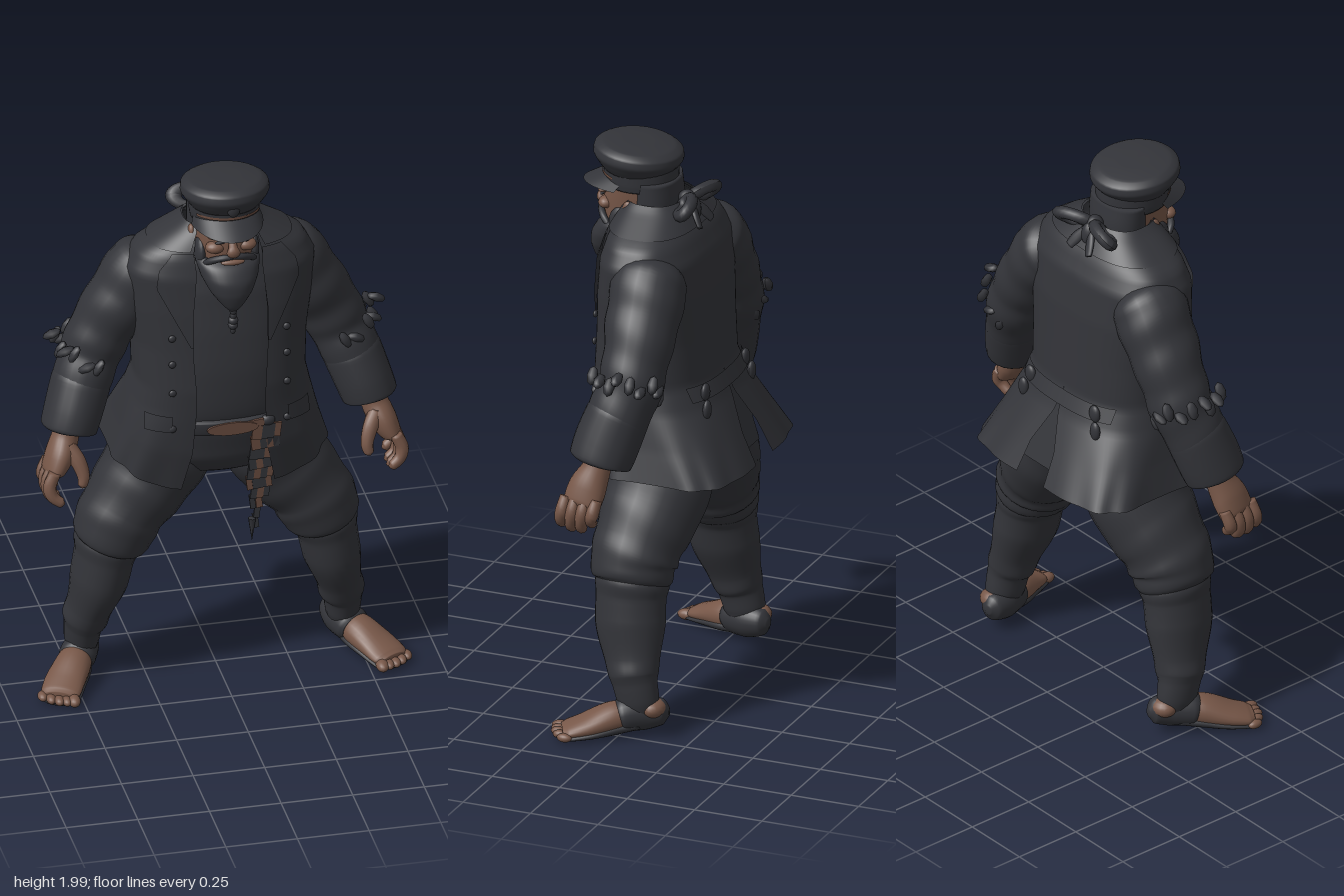
import * as THREE from 'three';

const cloth = new THREE.MeshStandardMaterial({ name: 'charcoal cloth', color: 0x333439, side: THREE.DoubleSide });
const skin = new THREE.MeshStandardMaterial({ name: 'tanned skin', color: 0x775748, side: THREE.DoubleSide });
const leather = new THREE.MeshStandardMaterial({ name: 'brown leather', color: 0x684b3f, side: THREE.DoubleSide });
const V = (x, y, z) => new THREE.Vector3(x, y, z);

function build(pos, idx) {
  const g = new THREE.BufferGeometry();
  g.setAttribute('position', new THREE.Float32BufferAttribute(pos, 3));
  g.setIndex(idx);
  g.computeVertexNormals();
  return g;
}

// Grid surface from a function of row and column
function sheet(rows, cols, fn) {
  const pos = [], idx = [];
  for (let i = 0; i <= rows; i++) for (let j = 0; j <= cols; j++) pos.push(...fn(i / rows, j / cols));
  for (let i = 0; i < rows; i++) for (let j = 0; j < cols; j++) {
    const a = i * (cols + 1) + j, c = a + cols + 1;
    idx.push(a, c, a + 1, a + 1, c, c + 1);
  }
  return build(pos, idx);
}

// Closed tube with oval sections; points are [x, y, z, sideRadius, frontRadius]
function limb(pts, { ref = V(0, 0, 1), axis = null, n = 2, seg = 24, fold = 0, steps = 6 } = {}) {
  const path = new THREE.CatmullRomCurve3(pts.map(p => V(p[0], p[1], p[2])));
  const rad = new THREE.CatmullRomCurve3(pts.map(p => V(p[3], p[4] ?? p[3], 0)));
  const N = (pts.length - 1) * steps, pos = [], idx = [];
  const pw = v => Math.sign(v) * Math.abs(v) ** (2 / n);
  for (let i = 0; i <= N; i++) {
    const t = i / N, c = path.getPoint(t), r = rad.getPoint(t), T = axis || path.getTangent(t);
    const B = ref.clone().addScaledVector(T, -ref.dot(T)).normalize(), A = B.clone().cross(T);
    for (let j = 0; j < seg; j++) {
      const a = j / seg * Math.PI * 2, k = 1 + fold * Math.sin(t * 34 + 1.3 * Math.sin(a));
      const p = c.clone().addScaledVector(A, pw(Math.cos(a)) * r.x * k).addScaledVector(B, pw(Math.sin(a)) * r.y * k);
      pos.push(p.x, p.y, p.z);
      if (i < N) {
        const b = i * seg + (j + 1) % seg, q = i * seg + j;
        idx.push(q, b, q + seg, b, b + seg, q + seg);
      }
    }
  }
  const s = pos.length / 3;
  pos.push(...path.getPoint(0).toArray(), ...path.getPoint(1).toArray());
  for (let j = 0; j < seg; j++) {
    const k = (j + 1) % seg;
    idx.push(s, k, j, s + 1, N * seg + j, N * seg + k);
  }
  return build(pos, idx);
}

// Upright body; rows are [y, halfWidth, frontZ, backZ] from bottom to top
const body = (rows, n = 2.2) => limb(rows.map(([y, w, f, b]) => [0, y, (f + b) / 2, w, (f - b) / 2]),
  { axis: V(0, 1, 0), ref: V(0, 0, -1), n, seg: 36 });

const ball = (x, y, z, rx, ry = rx, rz = rx) => new THREE.SphereGeometry(1, 18, 12).scale(rx, ry, rz).translate(x, y, z);

// Coat sections: [y, halfWidth, frontZ, backZ, frontOpening, backSlit]
const coatRows = [[1.8, .125, .15, -.03, .1, 0], [1.75, .2, .18, -.06, .11, 0], [1.7, .29, .195, -.1, .12, 0],
  [1.63, .33, .215, -.135, .12, 0], [1.5, .32, .23, -.155, .13, 0], [1.35, .3, .24, -.165, .13, 0],
  [1.2, .295, .25, -.175, .12, 0], [1.12, .315, .245, -.21, .12, .01], [1.0, .345, .225, -.27, .13, .06], [.89, .378, .19, -.325, .16, .07]];
const flareAt = y => THREE.MathUtils.clamp((1.12 - y) / .23, 0, 1);
const squareness = y => 2.6 + 1.6 * flareAt(y);
function section(rows, y) {
  let i = 0;
  while (i < rows.length - 2 && y < rows[i + 1][0]) i++;
  const a = rows[i], b = rows[i + 1], t = THREE.MathUtils.clamp((y - a[0]) / (b[0] - a[0]), 0, 1);
  return a.map((v, k) => v + (b[k] - v) * t);
}
function halfCoat(rows, steps) {
  const top = rows[0][0], bottom = rows.at(-1)[0];
  return sheet(steps, 44, (u, v) => {
    const y = top + (bottom - top) * u, [, w, f, b, open, slit] = section(rows, y);
    const flare = flareAt(y), E = squareness(y);
    const a0 = Math.asin((open / w) ** (E / 2)), a1 = Math.PI - Math.asin((slit / w) ** (E / 2));
    const a = a0 + (a1 - a0) * v, c = Math.cos(a), ripple = 1 + .015 * flare * Math.sin(a * 11);
    return [w * Math.sin(a) ** (2 / E) * ripple, y - .09 * flare * Math.max(0, c) ** 3,
      (f + b) / 2 + Math.sign(c) * Math.abs(c) ** (2 / E) * (f - b) / 2 * ripple];
  });
}
function coatZ(x, y, dir) {
  const [, w, f, b] = section(coatRows, y), E = squareness(y);
  return (f + b) / 2 + dir * (f - b) / 2 * Math.max(0, 1 - Math.abs(x / w) ** E) ** (1 / E);
}
// Cloth laid on the coat; rows are [y, innerX, outerX] from top to bottom
const patch = (rows, dir = 1, off = .012) => sheet(24, 10, (u, v) => {
  const y = rows[0][0] + (rows.at(-1)[0] - rows[0][0]) * u, [, a, b] = section(rows, y), x = a + (b - a) * v;
  return [x, y, coatZ(x, y, dir) + dir * off];
});

export function createModel() {
  const model = new THREE.Group();
  model.name = 'bearded sailor';
  const add = (name, geo, mat = cloth) => {
    const m = new THREE.Mesh(geo, mat);
    m.name = name;
    model.add(m);
  };
  const pair = (name, geo, mat = cloth) => {
    add(name + 'Left', geo, mat);
    const g = geo.clone().scale(-1, 1, 1), ix = g.index.array;
    for (let i = 0; i < ix.length; i += 3) [ix[i], ix[i + 1]] = [ix[i + 1], ix[i]];
    g.computeVertexNormals();
    add(name + 'Right', g, mat);
  };

  // Torso, trousers and belt
  add('shirt', body([[1.0, .27, .2, -.16], [1.1, .28, .235, -.15], [1.25, .28, .24, -.14], [1.4, .28, .225, -.13],
    [1.55, .27, .2, -.11], [1.66, .22, .17, -.06], [1.74, .1, .14, -.01]]));
  add('hips', body([[.8, .1, .08, -.12], [.84, .22, .15, -.19], [.92, .285, .19, -.21], [1.0, .285, .205, -.19], [1.06, .275, .21, -.17]]));
  add('belt', body([[1.015, .27, .22, -.16], [1.025, .28, .235, -.165], [1.07, .28, .243, -.165], [1.08, .27, .23, -.16]]));
  add('beltPlate', new THREE.CylinderGeometry(1, 1, .009, 20).rotateX(Math.PI / 2).scale(.09, .024, 1).translate(.005, 1.05, .243), leather);
  add('beltTongue', new THREE.BoxGeometry(.08, .026, .009).rotateZ(.12).translate(.075, 1.058, .24), leather);
  add('beltKnot', ball(.13, 1.06, .228, .026, .02, .016));

  // Coat with collar, lapels, pockets, buttons and split tail
  pair('coat', halfCoat(coatRows, 60));
  pair('collar', halfCoat([[1.805, .13, .16, -.035, .1, 0], [1.785, .155, .17, -.055, .1, 0], [1.725, .25, .2, -.1, .13, 0]], 10));
  pair('lapel', patch([[1.72, .12, .19], [1.66, .115, .24], [1.6, .12, .25], [1.5, .13, .2], [1.38, .13, .14]]));
  pair('pocketFlap', patch([[1.11, .2, .285], [1.05, .205, .29]]));
  pair('backBelt', patch([[1.2, 0, .23], [1.15, 0, .23]], -1, .012));
  for (const y of [1.41, 1.31, 1.2, 1.06]) pair('button', ball(.2, y, coatZ(.2, y, 1) + .005, .013, .013, .008));
  pair('backButton', ball(.17, 1.175, coatZ(.17, 1.175, -1) - .016, .025, .032, .014));
  pair('tailTab', ball(.19, 1.12, coatZ(.19, 1.12, -1) - .012, .022, .035, .014));
  add('tailPleat', sheet(6, 2, (u, v) => [(v - .5) * .22, 1.15 - .24 * u, -.185 - .075 * u]));

  // Sleeves, cuffs and torn elbow scraps
  pair('sleeve', limb([[.19, 1.63, -.01, .06, .08], [.25, 1.575, -.01, .125, .132], [.32, 1.475, -.015, .118, .13], [.39, 1.36, -.02, .11, .116],
    [.435, 1.26, -.015, .106, .112], [.48, 1.15, .02, .098, .11], [.515, 1.05, .045, .09, .105]], { fold: .022, steps: 10 }));
  pair('cuff', limb([[.462, 1.2, .005, .095, .1], [.475, 1.165, .015, .103, .112], [.505, 1.08, .04, .1, .115], [.525, 1.02, .055, .096, .11], [.526, 1.015, .056, .07, .08]]));
  for (let i = 0; i < 11; i++) {
    const a = -1.9 + i * .36, k = .104 + (i % 3) * .009;
    pair('elbowScrap', new THREE.SphereGeometry(1, 6, 4).scale(.017, .034, .02).rotateZ(.5 + (i % 2) * .7)
      .translate(.445 + Math.cos(a) * k, 1.25 + Math.cos(a) * .055 + (i % 3) * .02, -.012 + Math.sin(a) * k));
  }

  // Hands with curled fingers
  pair('palm', limb([[.525, 1.05, .055, .04, .045], [.54, .99, .065, .047, .052], [.565, .93, .085, .048, .068],
    [.59, .88, .095, .036, .068], [.598, .86, .1, .014, .048]]), skin);
  for (let k = 0; k < 4; k++) {
    const z = .04 + k * .037, d = k === 0 ? .025 : k === 3 ? .012 : 0;
    pair('finger', limb([[.595, .9, z, .021], [.615, .85, z + .008, .023], [.606, .805 + d, z + .016, .021],
      [.578, .782 + d, z + .022, .018], [.566, .777 + d, z + .023, .004]], { seg: 10 }), skin);
  }
  pair('thumb', limb([[.54, .97, .1, .03], [.51, .925, .13, .027], [.495, .875, .15, .022], [.5, .845, .158, .017], [.503, .835, .16, .004]], { seg: 10 }), skin);

  // Legs with bloused knees and bound shins
  pair('trouserLeg', limb([[.12, .96, -.02, .14, .17], [.17, .87, -.02, .165, .19], [.25, .75, -.015, .16, .178], [.32, .655, .0, .144, .157],
    [.355, .585, .005, .142, .15], [.372, .535, .0, .125, .136], [.38, .51, .0, .1, .115]], { fold: .014, steps: 8 }));
  pair('shinWrap', limb([[.365, .575, 0, .1, .11], [.378, .525, 0, .116, .13], [.388, .48, .0, .104, .124], [.405, .39, -.005, .1, .124],
    [.435, .27, -.025, .078, .098], [.447, .22, -.035, .08, .088], [.453, .19, -.042, .066, .08], [.455, .13, -.055, .06, .075], [.455, .09, -.06, .05, .065]]));

  // Bare feet with wrapped heels and dark soles
  const up = { ref: V(0, 1, 0) };
  pair('foot', limb([[.47, .08, -.04, .045, .045], [.5, .07, .02, .062, .054], [.55, .047, .1, .07, .037],
    [.575, .035, .15, .068, .026], [.585, .032, .17, .05, .018]], up), skin);
  pair('heelWrap', limb([[.425, .09, -.158, .012, .015], [.43, .09, -.138, .04, .045], [.447, .085, -.075, .057, .062], [.478, .079, -.015, .064, .062], [.488, .074, .005, .056, .05]], up));
  pair('heelPatch', ball(.452, .108, -.112, .05, .034, .042), skin);
  pair('sole', limb([[.46, .05, -.06, .045, .02], [.5, .04, .02, .062, .027], [.55, .026, .1, .071, .02], [.58, .018, .16, .07, .014], [.592, .016, .185, .045, .01]], up));
  for (let k = 0; k < 5; k++) {
    const s = k - 2, r = k === 0 ? .022 : .017;
    pair('toe', ball(.587 + s * .0245, .025, .183 - s * .013 - s * s * .004, r, r * .9, r * 1.6), skin);
  }

  // Ragged sash hanging from the belt
  for (let i = 0; i < 4; i++) {
    const parts = 6 + (i * 2) % 5;
    for (let k = 0; k < parts; k++) {
      const w = .034 * (1 - .5 * k / parts), tint = (k + 2 * i) % 5 < 2 ? leather : cloth;
      add('sashStrip', new THREE.BoxGeometry(w, .054, .009).rotateZ((k % 2 ? .12 : -.12))
        .translate(.125 + (i - 1.5) * .023 - k * .003, 1.02 - k * .045, .238 - k * .011 - i * .004), tint);
    }
  }
  add('sashTip', new THREE.ConeGeometry(.014, .09, 6).rotateX(Math.PI).translate(.095, .585, .14));

  // Head, face and hair
  add('head', body([[1.6, .085, .15, -.01], [1.67, .09, .235, 0], [1.72, .096, .255, 0], [1.78, .102, .258, 0], [1.84, .108, .25, 0], [1.88, .11, .245, .01]]), skin);
  add('hair', body([[1.64, .1, .12, -.02], [1.72, .111, .135, -.015], [1.8, .115, .14, -.015], [1.87, .116, .14, -.005]]));
  add('nose', limb([[0, 1.8, .252, .012], [0, 1.775, .268, .016], [0, 1.757, .275, .024, .018], [0, 1.745, .262, .012]], { seg: 14 }), skin);
  add('brow', ball(0, 1.812, .245, .085, .016, .028), skin);
  pair('cheek', ball(.055, 1.765, .235, .034, .022, .028), skin);
  pair('eye', ball(.042, 1.79, .254, .018, .005, .007));
  pair('ear', ball(.115, 1.77, .13, .014, .034, .022), skin);
  pair('moustache', limb([[0, 1.738, .27, .009], [.035, 1.733, .263, .011], [.07, 1.715, .24, .012], [.09, 1.69, .21, .008]], { ref: V(0, 1, 0), seg: 12 }));
  add('lip', ball(0, 1.716, .266, .042, .011, .014), skin);
  add('beard', body([[1.525, .008, .278, .262], [1.55, .035, .296, .22], [1.6, .075, .308, .16], [1.65, .1, .3, .11], [1.69, .11, .272, .09], [1.71, .106, .24, .08]]));
  pair('sideburn', ball(.092, 1.715, .165, .02, .055, .045));
  for (let k = 0; k < 5; k++) add('beardBraid', ball(0, 1.53 - k * .02, .272 - k * .002, [.013, .012, .018, .018, .01][k], .016));

  // Ribbon bow and tied hair
  add('bowKnot', ball(0, 1.8, -.04, .03, .032, .032));
  pair('bowLoop', new THREE.TorusGeometry(.034, .018, 10, 24).scale(1.6, 1, 1.2).rotateX(-.75).rotateY(.35).translate(.076, 1.8, -.066));
  pair('bowTail', limb([[.01, 1.79, -.06, .012], [.035, 1.75, -.09, .02, .01], [.05, 1.72, -.11, .016, .008]], { seg: 10 }));
  add('hairTail', ball(0, 1.765, -.06, .03, .05, .03));

  // Peaked cap
  add('capBand', body([[1.835, .116, .252, .0], [1.86, .12, .258, -.002], [1.91, .122, .262, .0], [1.93, .12, .26, .01]], 2));
  add('capCrown', body([[1.885, .118, .258, .015], [1.912, .138, .28, -.002], [1.94, .153, .295, -.018], [1.962, .15, .292, -.014], [1.98, .125, .265, .015], [1.988, .06, .2, .08], [1.989, .01, .15, .13]], 2)
    .translate(0, -1.95, -.14).rotateX(-.09).translate(0, 1.952, .14));
  add('capPeak', sheet(5, 24, (u, v) => {
    const a = (v - .5) * 2.7, c = Math.cos(a);
    return [Math.sin(a) * (.12 + .008 * u), 1.875 - .045 * u * (.4 + .6 * c) - .025 * (1 - c), .135 + c * (.122 + .08 * u)];
  }));
  add('capStrap', sheet(1, 20, (u, v) => {
    const a = (v - .5) * 2.2;
    return [Math.sin(a) * .124, 1.888 - .01 * u - .014 * (1 - Math.cos(a)), .13 + Math.cos(a) * .134];
  }), leather);
  add('capBadge', ball(0, 1.925, .276, .022, .028, .012));
  return model;
}
